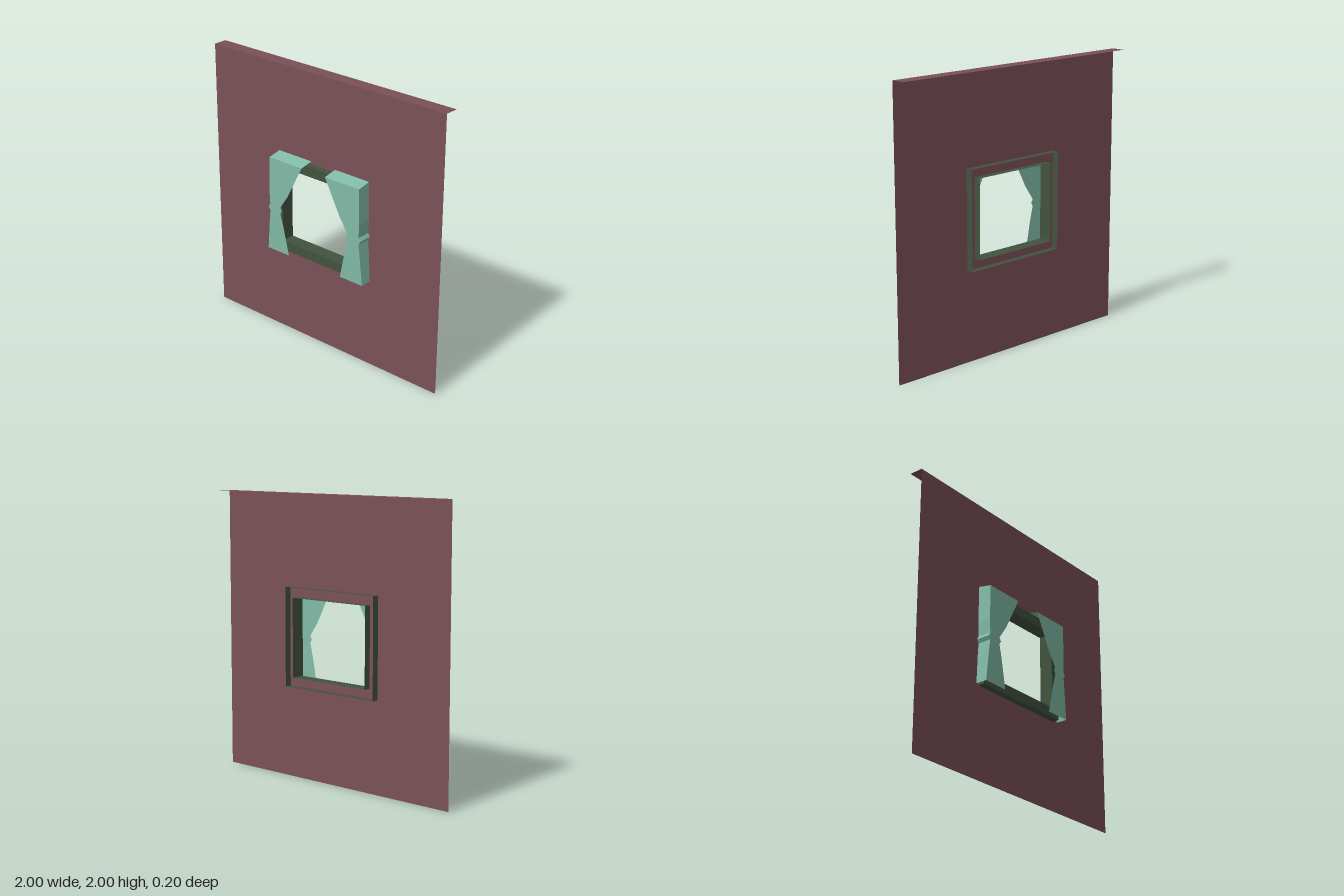
import * as THREE from 'three';

const mat = (name, color) => {
  const m = new THREE.MeshStandardMaterial({ color, side: THREE.DoubleSide });
  m.name = name;
  return m;
};

// Rectangle outline centred on x = 0
function rect(path, halfWidth, y0, y1) {
  path.moveTo(-halfWidth, y0);
  path.lineTo(halfWidth, y0);
  path.lineTo(halfWidth, y1);
  path.lineTo(-halfWidth, y1);
  path.closePath();
  return path;
}

// Flat panel with a rectangular opening
function panel(outer, inner) {
  const shape = rect(new THREE.Shape(), ...outer);
  shape.holes.push(rect(new THREE.Path(), ...inner));
  return new THREE.ShapeGeometry(shape);
}

// Geometry from flat quads, corners counter-clockwise from outside
function quads(list) {
  const pos = [];
  for (const [a, b, c, d] of list) pos.push(...a, ...b, ...c, ...a, ...c, ...d);
  const g = new THREE.BufferGeometry();
  g.setAttribute('position', new THREE.Float32BufferAttribute(pos, 3));
  g.computeVertexNormals();
  return g;
}

// Open rectangular sleeve running from z0 to z1
function sleeve([w, y0, y1], z0, z1) {
  const c = [[-w, y0], [w, y0], [w, y1], [-w, y1]];
  return quads(c.map((p, i) => {
    const q = c[(i + 1) % 4];
    return [[...p, z0], [...q, z0], [...q, z1], [...p, z1]];
  }));
}

// Curtain rows: y, inner x, outer x, front z, back z
const rows = [
  [1.35, 0.105, 0.4, 0.1, 0],
  [1.1, 0.235, 0.405, 0.1, 0],
  [1.0, 0.305, 0.4, 0.1, 0],
  [0.975, 0.29, 0.415, 0.1, 0],
  [0.95, 0.305, 0.4, 0.1, 0],
  [0.86, 0.28, 0.41, 0.098, 0.003],
  [0.65, 0.235, 0.43, 0.094, 0.012],
];

function curtain(side) {
  const list = [];
  const inner = ([y, xi, , zf]) => [side * xi, y, zf];
  const outer = ([y, , xo, zf]) => [side * xo, y, zf];
  const back = ([y, , xo, , zb], i) => [side * xo, i === 0 ? 1.37 : y, zb];
  for (let i = 0; i < rows.length - 1; i++) {
    const a = rows[i], b = rows[i + 1];
    list.push([inner(a), inner(b), outer(b), outer(a)]);
    list.push([outer(a), outer(b), back(b, i + 1), back(a, i)]);
  }
  // Sloped top
  const t = rows[0];
  list.push([inner(t), outer(t), back(t, 0), [side * t[1], 1.37, 0]]);
  if (side < 0) list.forEach((q) => q.reverse());
  return quads(list);
}

export function createModel() {
  const group = new THREE.Group();
  const wallMat = mat('wall plum', 0x7b5058);
  const frameMat = mat('frame dark green', 0x42533f);
  const curtainMat = mat('curtain sea green', 0x82bba8);
  const add = (name, geometry, material) => {
    const mesh = new THREE.Mesh(geometry, material);
    mesh.name = name;
    group.add(mesh);
    return mesh;
  };

  const outer = [0.4, 0.65, 1.35];
  const inner = [0.33, 0.72, 1.28];

  // Wall sheet and its top ledge
  add('wall', panel([1, 0, 2], inner), wallMat);
  const ledge = new THREE.PlaneGeometry(2, 0.1).rotateX(-Math.PI / 2);
  add('wallTopLedge', ledge, wallMat).position.set(0, 2, -0.05);

  // Window frame, open at the back
  add('frameFront', panel(outer, inner), frameMat).position.z = 0.05;
  add('frameOuterSides', sleeve(outer, -0.05, 0.05), frameMat);
  add('frameInnerSides', sleeve(inner, -0.05, 0.05), frameMat);

  // Tied-back curtains
  add('leftCurtain', curtain(1), curtainMat);
  add('rightCurtain', curtain(-1), curtainMat);
  return group;
}
